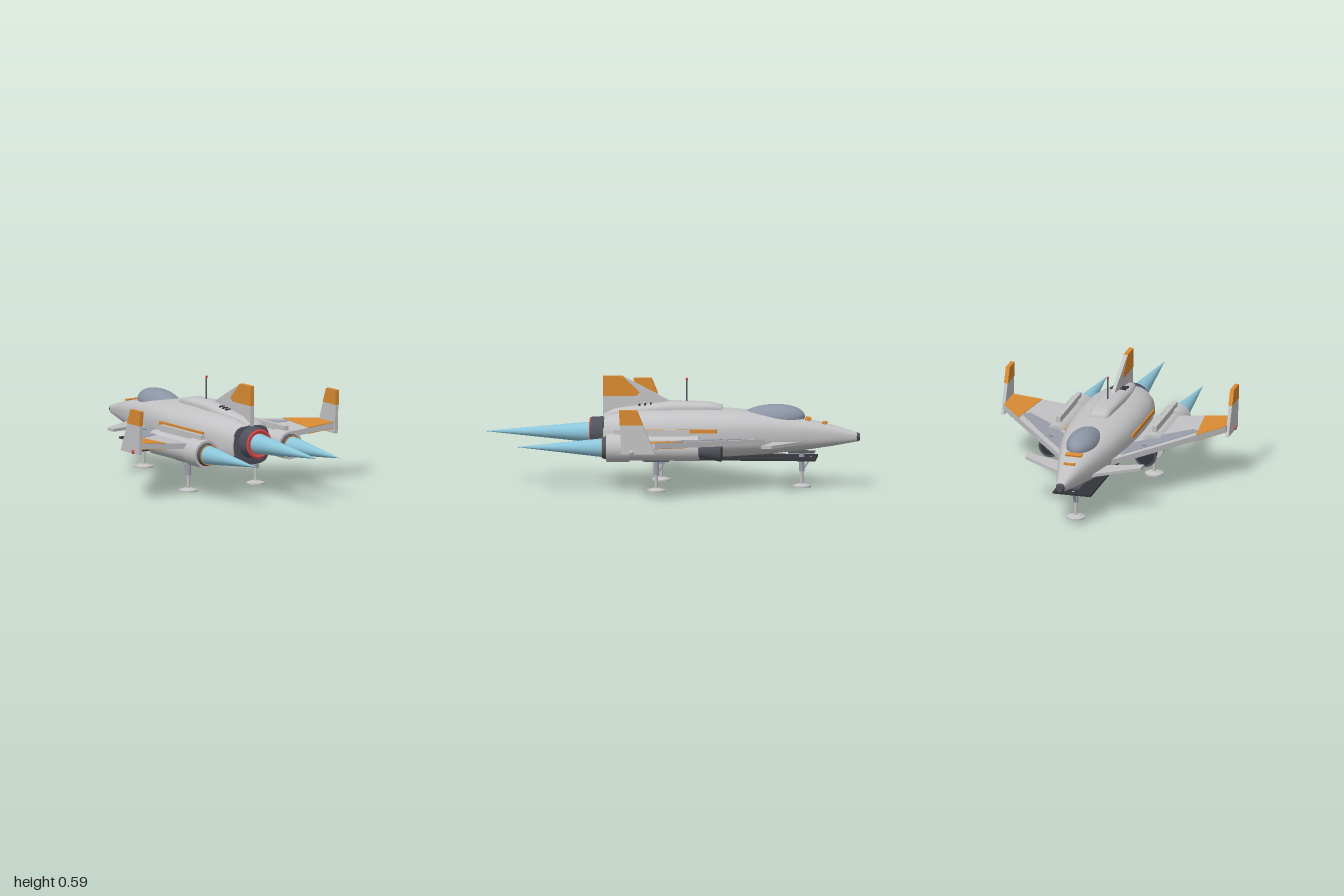
import * as THREE from 'three';

const mat = (name, color, side = THREE.FrontSide) => {
  const m = new THREE.MeshStandardMaterial({ color, side });
  m.name = name;
  return m;
};

export function createModel() {
  const hull = mat('hull grey', 0xc2c2c4);
  const mid = mat('panel grey', 0x9a9eaa);
  const dark = mat('dark metal', 0x50525c);
  const black = mat('belly black', 0x33343a);
  const orange = mat('orange paint', 0xd98a32);
  const red = mat('red', 0xd64a4a);
  const flameBlue = mat('flame blue', 0x8cc6da);
  const glass = mat('canopy glass', 0x8c94a4);

  const root = new THREE.Group();
  root.name = 'starfighter';
  const add = (name, geo, material, x = 0, y = 0, z = 0) => {
    const m = new THREE.Mesh(geo, material);
    m.name = name;
    m.position.set(x, y, z);
    root.add(m);
    return m;
  };
  const box = (name, w, h, d, material, x, y, z) => add(name, new THREE.BoxGeometry(w, h, d), material, x, y, z);
  // Round part lying along z, radius r0 at z0 and r1 at z1
  const tube = (name, r0, r1, z0, z1, material, x, y) =>
    add(name, new THREE.CylinderGeometry(r1, r0, z1 - z0, 32).rotateX(Math.PI / 2), material, x, y, (z0 + z1) / 2);
  const post = (name, r, y0, y1, material, x, z) =>
    add(name, new THREE.CylinderGeometry(r, r, y1 - y0, 20), material, x, (y0 + y1) / 2, z);
  const outline = pts => new THREE.Shape(pts.map(p => new THREE.Vector2(...p)));
  // Horizontal slab from [x, z] points, sheared upwards with |x|
  const slab = (name, pts, y, t, rise, material, side = 1) => {
    const g = new THREE.ExtrudeGeometry(outline(pts.map(([x, z]) => [x * side, z])), { depth: t, bevelEnabled: false });
    g.rotateX(Math.PI / 2).translate(0, y + t / 2, 0);
    const p = g.attributes.position;
    for (let i = 0; i < p.count; i++) p.setY(i, p.getY(i) + rise * Math.abs(p.getX(i)));
    g.computeVertexNormals();
    return add(name, g, material);
  };
  // Upright slab from [z, y] points
  const fin = (name, pts, x, t, material) => {
    const g = new THREE.ExtrudeGeometry(outline(pts), { depth: t, bevelEnabled: false });
    return add(name, g.rotateY(-Math.PI / 2).translate(t / 2, 0, 0), material, x);
  };
  // Loft through sections [z, halfWidth, yBottom, yTop] with rounded-box rings
  const loft = (sections, power, n = 48) => {
    const pos = [], idx = [];
    const bulge = v => Math.sign(v) * Math.abs(v) ** (2 / power);
    for (const [z, w, b, t] of sections)
      for (let j = 0; j < n; j++) {
        const a = j / n * Math.PI * 2;
        pos.push(w * bulge(Math.cos(a)), (b + t) / 2 + (t - b) / 2 * bulge(Math.sin(a)), z);
      }
    for (let i = 0; i < sections.length - 1; i++)
      for (let j = 0; j < n; j++) {
        const a = i * n + j, b = i * n + (j + 1) % n;
        idx.push(a, b, a + n, b, b + n, a + n);
      }
    const g = new THREE.BufferGeometry();
    g.setAttribute('position', new THREE.Float32BufferAttribute(pos, 3));
    g.setIndex(idx);
    g.computeVertexNormals();
    return g;
  };

  // Fuselage
  add('fuselage', loft([
    [-0.985, 0.024, 0.247, 0.295], [-0.85, 0.058, 0.222, 0.335], [-0.7, 0.098, 0.2, 0.368],
    [-0.5, 0.145, 0.178, 0.4], [-0.3, 0.175, 0.165, 0.417], [-0.05, 0.187, 0.16, 0.42],
    [0.15, 0.18, 0.16, 0.415], [0.28, 0.155, 0.16, 0.4], [0.36, 0.115, 0.163, 0.376],
  ], 2.6), hull);
  tube('noseTip', 0.018, 0.025, -1, -0.983, dark, 0, 0.271);
  add('rearBulkhead', loft([[0.355, 0.114, 0.164, 0.375], [0.362, 0.11, 0.168, 0.371], [0.363, 0.001, 0.268, 0.27]], 3.4), dark);
  box('bellyPlate', 0.21, 0.01, 0.89, black, 0, 0.157, -0.325);

  // Canopy and dorsal spine
  add('canopy', new THREE.SphereGeometry(1, 40, 24).scale(0.085, 0.075, 0.178), glass, 0, 0.367, -0.53).rotation.x = 0.08;
  add('dorsalSpine', loft([
    [-0.272, 0.002, 0.4, 0.41], [-0.27, 0.05, 0.38, 0.436], [-0.2, 0.058, 0.38, 0.452], [0, 0.071, 0.37, 0.457],
    [0.17, 0.066, 0.36, 0.435], [0.3, 0.045, 0.36, 0.415], [0.36, 0.025, 0.35, 0.385],
  ], 3), hull);
  for (const z of [0.11, 0.14, 0.17]) box('spineVent', 0.085, 0.012, 0.009, black, 0, 0.441 - (z - 0.11) * 0.12, z);
  post('antenna', 0.004, 0.44, 0.57, dark, 0, -0.08);
  add('antennaTip', new THREE.SphereGeometry(0.007, 12, 8), red, 0, 0.573, -0.08);

  // Nose markings
  box('noseStripe', 0.09, 0.009, 0.03, orange, 0, 0.366, -0.725).rotation.x = -0.21;
  slab('noseChevron', [[-0.03, -0.825], [0.03, -0.825], [0.03, -0.8], [0, -0.812], [-0.03, -0.8]], 0.345, 0.009, 0, orange);

  // Tail fin
  fin('tailFin', [[0.365, 0.37], [0.365, 0.585], [0.26, 0.585], [0, 0.45], [0, 0.41]], 0, 0.02, hull);
  fin('tailFinPaint', [[0.366, 0.48], [0.366, 0.586], [0.26, 0.586], [0.17, 0.5], [0.19, 0.48]], 0, 0.024, orange);

  // Main engine
  tube('mainNozzle', 0.085, 0.08, 0.355, 0.43, dark, 0, 0.285);
  add('mainNozzleRing', new THREE.RingGeometry(0.05, 0.08, 40), red, 0, 0.285, 0.431);
  add('mainNozzleLip', new THREE.TorusGeometry(0.07, 0.009, 12, 40), red, 0, 0.285, 0.428);
  tube('mainFlame', 0.055, 0, 0.43, 1, flameBlue, 0, 0.285);

  // Landing gear
  const gear = (x, z, top) => {
    post('gearFoot', 0.05, 0, 0.008, hull, x, z);
    add('gearFootDome', new THREE.CylinderGeometry(0.02, 0.05, 0.01, 24), hull, x, 0.013, z);
    post('gearLowerStrut', 0.009, 0.01, 0.09, hull, x, z);
    post('gearUpperStrut', 0.015, 0.085, top, mid, x, z);
    box('gearBrace', 0.012, 0.09, 0.01, mid, x, 0.125, z - 0.028).rotation.x = -0.55;
    box('gearDoor', 0.08, 0.006, 0.14, dark, x, top, z);
  };
  gear(0, -0.69, 0.188);

  for (const s of [1, -1]) {
    gear(s * 0.213, 0.07, 0.166);

    // Wings with painted tips
    const rise = 0.085;
    slab('wing', [[0.12, -0.53], [0.615, 0.05], [0.615, 0.22], [0.12, 0.22]], 0.246, 0.03, rise, hull, s);
    slab('wingPanel', [[0.17, -0.42], [0.33, -0.23], [0.49, -0.03], [0.45, 0], [0.33, -0.08], [0.17, -0.24]], 0.2615, 0.004, rise, mid, s);
    for (const y of [0.2305, 0.2615])
      slab('wingTipPaint', [[0.49, -0.093], [0.612, 0.05], [0.612, 0.22], [0.45, 0.22]], y, 0.004, rise, orange, s);

    // Winglets and tip lights
    const wx = s * 0.62;
    fin('winglet', [[0.23, 0.255], [0.24, 0.487], [0.148, 0.487], [0.05, 0.255]], wx, 0.018, hull);
    fin('wingletPaint', [[0.238, 0.41], [0.242, 0.489], [0.147, 0.489], [0.114, 0.41]], wx, 0.022, orange);
    add('tipLight', new THREE.SphereGeometry(0.012, 16, 12), s > 0 ? hull : red, s * 0.627, 0.265, 0.175);

    // Canards
    slab('canard', [[0.08, -0.71], [0.32, -0.55], [0.32, -0.495], [0.08, -0.56]], 0.245, 0.016, 0.03, hull, s);

    // Fuselage side stripe
    box('sideStripe', 0.009, 0.02, 0.42, orange, s * 0.184, 0.318, -0.04);

    // Nacelles
    const x = s * 0.265, y = 0.238;
    tube('nacelle', 0.066, 0.066, -0.16, 0.22, hull, x, y);
    tube('nacelleCollar', 0.075, 0.075, 0.21, 0.33, hull, x, y);
    tube('nacelleNozzle', 0.062, 0.056, 0.33, 0.352, dark, x, y);
    add('nozzleTrim', new THREE.TorusGeometry(0.053, 0.003, 8, 32), orange, x, y, 0.352);
    tube('nacelleFlame', 0.05, 0, 0.352, 0.815, flameBlue, x, y);
    tube('intake', 0.06, 0.035, -0.28, -0.155, dark, x, y - 0.01);
    tube('intakeMouth', 0.048, 0.048, -0.283, -0.279, black, x, y - 0.01);
    box('nacelleRail', 0.024, 0.04, 0.4, hull, x, 0.316, 0.09);
    box('pylon', 0.08, 0.036, 0.36, hull, s * 0.185, 0.25, 0.06);
  }
  return root;
}
